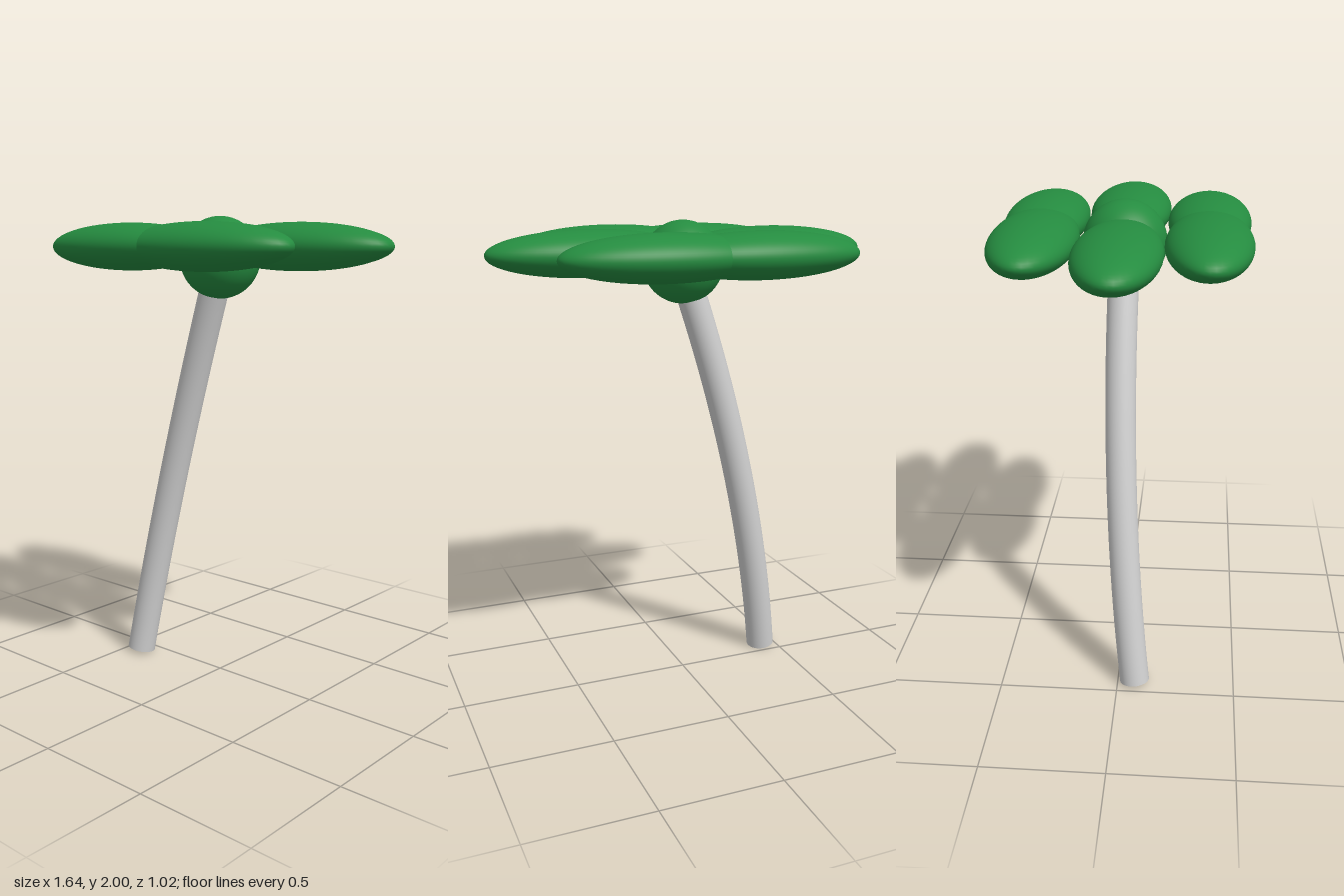
import * as THREE from 'three';

export function createModel() {
  const group = new THREE.Group();
  const green = new THREE.MeshStandardMaterial({ color: 0x258c40 });
  green.name = 'leaf green';
  const grey = new THREE.MeshStandardMaterial({ color: 0xd0d0d0 });
  grey.name = 'trunk grey';

  const add = (name, geometry, material) => {
    const mesh = new THREE.Mesh(geometry, material);
    mesh.name = name;
    group.add(mesh);
    return mesh;
  };

  // Leaning, gently bent trunk that ends inside the crown
  const radius = 0.063;
  const bend = new THREE.QuadraticBezierCurve3(
    new THREE.Vector3(-0.43, 0.011, 0.073),
    new THREE.Vector3(-0.31, 0.92, -0.03),
    new THREE.Vector3(0.01, 1.83, 0)
  );
  add('trunk', new THREE.TubeGeometry(bend, 32, radius, 32), grey);

  // Flat cap closing the foot of the trunk
  const cap = add('trunkBase', new THREE.CircleGeometry(radius, 32), grey);
  cap.position.copy(bend.getPoint(0));
  cap.quaternion.setFromUnitVectors(
    new THREE.Vector3(0, 0, 1),
    bend.getTangent(0).negate()
  );

  // Round crown at the top of the trunk
  const sphere = new THREE.SphereGeometry(1, 48, 32);
  const crown = add('crown', sphere, green);
  crown.scale.setScalar(0.17);
  crown.position.y = 1.83;

  // Six long flat leaves in three mirrored rows
  for (const [x, z] of [[0.2, -0.337], [0.395, 0], [0.2, 0.337]]) {
    for (const side of [-1, 1]) {
      const leaf = add('leaf', sphere, green);
      leaf.scale.set(0.425, 0.095, 0.171);
      leaf.position.set(side * x, 1.875, z);
    }
  }
  return group;
}
